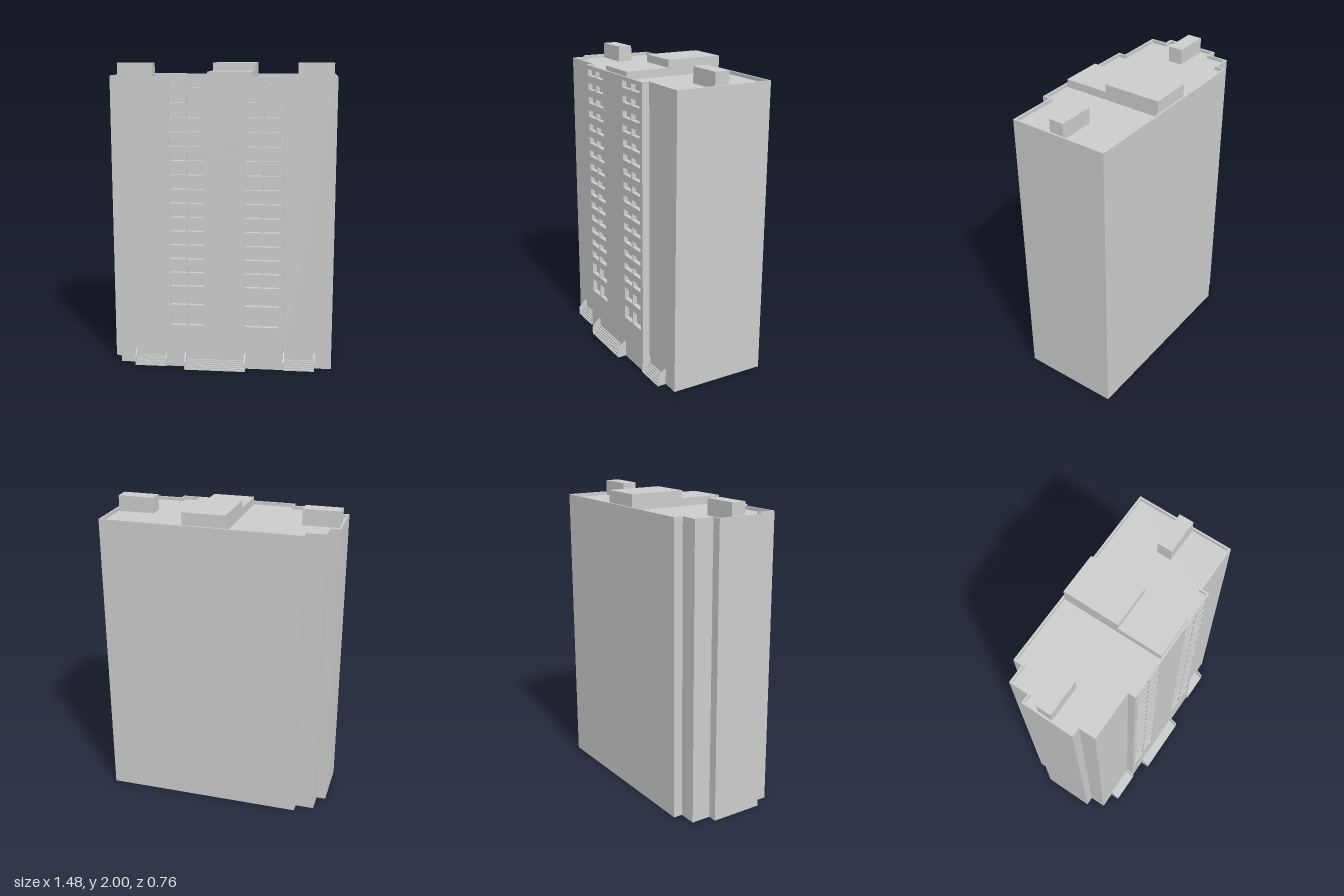
import * as THREE from 'three';

const H = 1.92, ROOF = 1.898, FRONT = 0.32;
// Footprint as [x, z], starting at the back, going round to the front
const outline = [
  [-0.56, -0.38], [0.735, -0.38], [0.735, 0.27], [0.415, 0.27], [0.415, FRONT], [-0.36, FRONT], [-0.36, 0.27],
  [-0.68, 0.27], [-0.68, 0.16], [-0.74, 0.16], [-0.74, -0.19], [-0.68, -0.19], [-0.68, -0.32], [-0.56, -0.32],
];
const material = new THREE.MeshStandardMaterial({ color: 0xcccccc, flatShading: true, side: THREE.DoubleSide });

function add(parent, name, geometry, x = 0, y = 0, z = 0) {
  const mesh = new THREE.Mesh(geometry, material);
  mesh.name = name;
  mesh.position.set(x, y, z);
  parent.add(mesh);
  return mesh;
}

function addBox(parent, name, x0, x1, y0, y1, z0, z1) {
  return add(parent, name, new THREE.BoxGeometry(x1 - x0, y1 - y0, z1 - z0),
    (x0 + x1) / 2, (y0 + y1) / 2, (z0 + z1) / 2);
}

const points = (list) => list.map(([x, y]) => new THREE.Vector2(x, y));
const planPoints = (list) => list.map(([x, z]) => new THREE.Vector2(x, -z));

// Move every edge of a right-angled outline inwards by t
function inset(list, t) {
  const n = list.length;
  const normal = (a, b) => {
    const l = Math.hypot(b[0] - a[0], b[1] - a[1]);
    return [-(b[1] - a[1]) / l, (b[0] - a[0]) / l];
  };
  return list.map((p, i) => {
    const a = normal(list[(i + n - 1) % n], p), b = normal(p, list[(i + 1) % n]);
    return [p[0] + t * (a[0] + b[0]), p[1] + t * (a[1] + b[1])];
  });
}

// Window openings as [x0, x1, y0, y1]
function windowOpenings() {
  const columns = [[-0.328, -0.224], [-0.213, -0.106], [0.164, 0.27], [0.279, 0.386]];
  const rows = [[0.29, 0.38], [0.43, 0.508]];
  for (let i = 0; i < 15; i++) rows.push([0.557 + i * 0.0924, 0.6 + i * 0.0924]);
  return rows.flatMap((r) => columns.map((c) => [...c, ...r]));
}

// Stairs between two raised cheeks, built against the wall at z = back
function addStairs(parent, name, x0, x1, back) {
  const stairs = new THREE.Group();
  stairs.name = name;
  const steps = 6, depth = 0.06, rise = 0.055, cheek = 0.007;
  const profile = [[0, 0], [depth, 0]];
  for (let i = 0; i < steps; i++) {
    const y = rise * (i + 1) / steps;
    profile.push([depth * (1 - i / steps), y], [depth * (1 - (i + 1) / steps), y]);
  }
  // Profiles are drawn as (z, y) and extruded along x
  const extrudeX = (list, width) => new THREE.ExtrudeGeometry(new THREE.Shape(points(list)),
    { depth: width, bevelEnabled: false }).rotateY(-Math.PI / 2).translate(width, 0, 0);
  add(stairs, 'steps', extrudeX(profile, x1 - x0 - 2 * cheek), x0 + cheek, 0, back);
  const side = [[0, 0], [depth, 0], [depth, 0.055], [0.012, 0.105], [0, 0.105]];
  for (const x of [x0, x1 - cheek]) add(stairs, 'stairCheek', extrudeX(side, cheek), x, 0, back);
  parent.add(stairs);
}

export function createModel() {
  const model = new THREE.Group();
  model.name = 'apartmentTower';

  // Outer walls, open underneath; the projecting front bay is made separately
  const walls = new THREE.Group();
  walls.name = 'walls';
  model.add(walls);
  outline.forEach((a, i) => {
    const b = outline[(i + 1) % outline.length];
    if (a[1] === FRONT && b[1] === FRONT) return;
    const dx = b[0] - a[0], dz = b[1] - a[1];
    const wall = add(walls, 'wall', new THREE.PlaneGeometry(Math.hypot(dx, dz), H),
      (a[0] + b[0]) / 2, H / 2, (a[1] + b[1]) / 2);
    wall.rotation.y = Math.atan2(dz, -dx);
  });

  // Front bay with window openings
  const openings = windowOpenings();
  const bay = new THREE.Shape(points([[-0.36, 0], [0.415, 0], [0.415, H], [-0.36, H]]));
  for (const [x0, x1, y0, y1] of openings) {
    bay.holes.push(new THREE.Path(points([[x0, y0], [x0, y1], [x1, y1], [x1, y0]])));
  }
  add(walls, 'frontBay', new THREE.ShapeGeometry(bay), 0, 0, FRONT);

  // Window recesses: boxes without their front face
  const windows = new THREE.Group();
  windows.name = 'windows';
  model.add(windows);
  for (const [x0, x1, y0, y1] of openings) {
    const recess = addBox(windows, 'windowRecess', x0, x1, y0, y1, FRONT - 0.03, FRONT);
    const index = Array.from(recess.geometry.index.array);
    recess.geometry.setIndex(index.filter((_, i) => i < 24 || i >= 30));
  }

  // Roof deck and parapet
  const inner = inset(outline, 0.0125);
  add(model, 'roof', new THREE.ShapeGeometry(new THREE.Shape(planPoints(inner))).rotateX(-Math.PI / 2), 0, ROOF, 0);
  const rim = new THREE.Shape(planPoints(outline));
  rim.holes.push(new THREE.Path(planPoints(inner)));
  add(model, 'parapet', new THREE.ExtrudeGeometry(rim, { depth: H - ROOF, bevelEnabled: false })
    .rotateX(-Math.PI / 2), 0, ROOF, 0);

  // Rooftop blocks
  addBox(model, 'rearRoofBlock', -0.08, 0.197, ROOF, 2, -0.367, 0.01);
  addBox(model, 'frontRoofBlock', -0.08, 0.197, ROOF, 1.95, 0.01, 0.307);
  addBox(model, 'rightRoofBlock', -0.724, -0.487, ROOF, 2, -0.09, 0.007);
  addBox(model, 'leftRoofBlock', 0.483, 0.72, ROOF, 2, -0.09, 0.007);

  // Entrance stairs
  addStairs(model, 'rightStairs', -0.573, -0.36, 0.27);
  addStairs(model, 'centreStairs', -0.233, 0.17, FRONT);
  addStairs(model, 'leftStairs', 0.417, 0.625, 0.27);
  return model;
}
